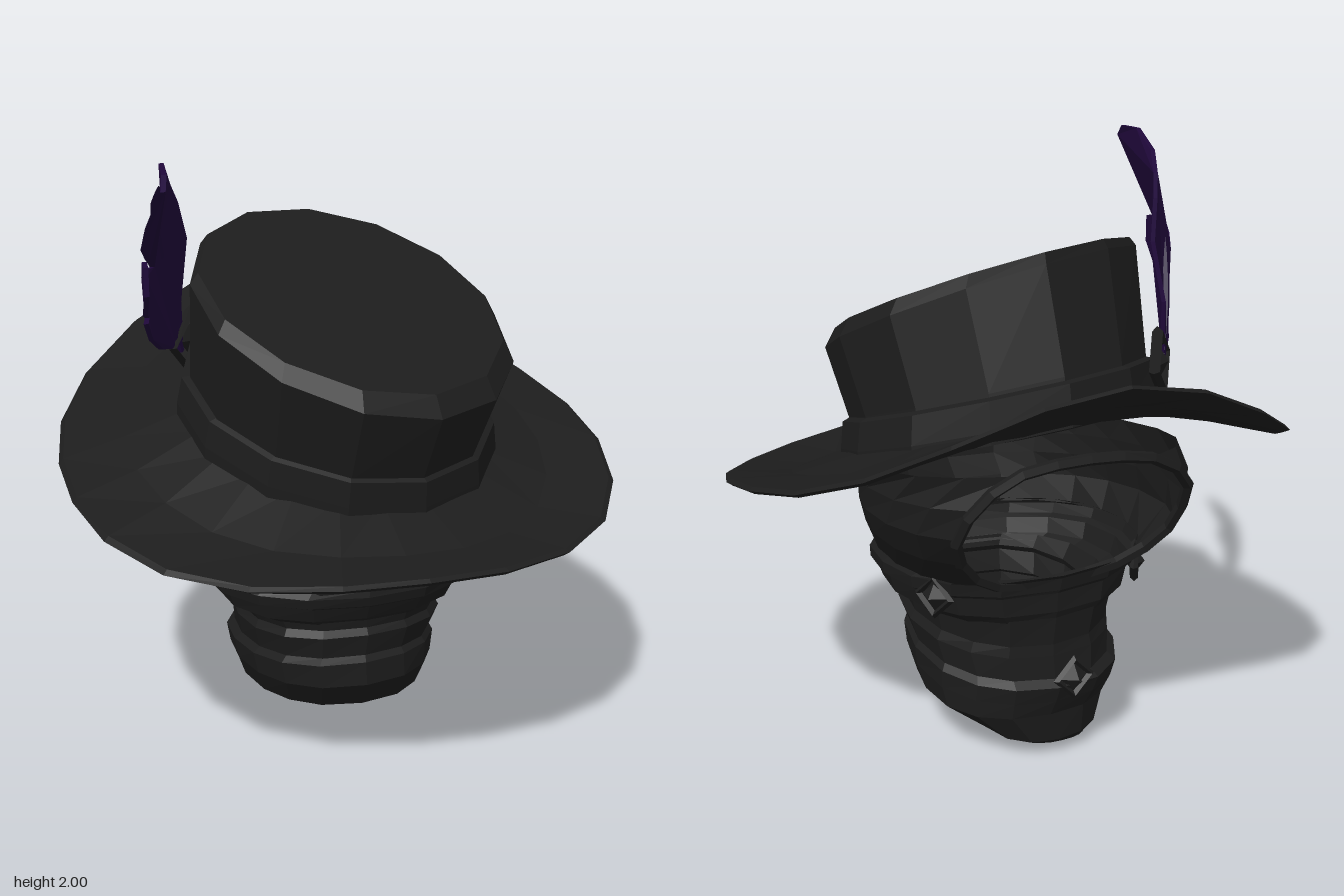
import * as THREE from 'three';

const felt = new THREE.MeshStandardMaterial({ color: 0x1d1d1d, side: THREE.DoubleSide });
felt.name = 'charcoal felt';
const plume = new THREE.MeshStandardMaterial({ color: 0x1f083a, side: THREE.DoubleSide });
plume.name = 'deep purple';

// Faceted normals
function flat(geometry) {
  const g = geometry.index ? geometry.toNonIndexed() : geometry;
  g.computeVertexNormals();
  return g;
}

function add(parent, name, geometry, material) {
  const mesh = new THREE.Mesh(flat(geometry), material);
  mesh.name = name;
  parent.add(mesh);
  return mesh;
}

// Tilted oval cross-section: tz and tx are slopes along z and x.
// gap leaves an opening (radians each side) at the back; wobble wrinkles cloth;
// a power below 1 makes the oval boxier.
function ring([y, cx, cz, rx, rz, tz = 0, tx = 0], sides, { gap = 0, wobble = 0, power = 1 } = {}) {
  const points = [];
  const count = gap ? sides + 1 : sides;
  const bulge = v => Math.sign(v) * Math.abs(v) ** power;
  for (let i = 0; i < count; i++) {
    const a = (Math.PI - gap) * ((2 * i) / sides - 1);
    const k = 1 + wobble * Math.sin(3 * a + 9 * y);
    const dx = rx * k * bulge(Math.sin(a)), dz = rz * k * bulge(Math.cos(a));
    points.push(new THREE.Vector3(cx + dx, y + tz * dz + tx * dx, cz + dz));
  }
  return points;
}

// Skin rings listed from bottom to top
function loft(rings, { closed = true, capBottom = false, capTop = false } = {}) {
  const n = rings[0].length, pos = [], index = [];
  rings.forEach(r => r.forEach(p => pos.push(p.x, p.y, p.z)));
  for (let i = 0; i < rings.length - 1; i++) {
    for (let j = 0; j < (closed ? n : n - 1); j++) {
      const a = i * n + j, b = i * n + (j + 1) % n;
      index.push(a, b, b + n, a, b + n, a + n);
    }
  }
  const cap = (row, up) => {
    const c = new THREE.Vector3();
    rings[row].forEach(p => c.addScaledVector(p, 1 / n));
    const m = pos.length / 3;
    pos.push(c.x, c.y, c.z);
    for (let j = 0; j < n; j++) {
      const a = row * n + j, b = row * n + (j + 1) % n;
      if (up) index.push(a, b, m); else index.push(b, a, m);
    }
  };
  if (capBottom) cap(0, false);
  if (capTop) cap(rings.length - 1, true);
  const g = new THREE.BufferGeometry();
  g.setAttribute('position', new THREE.Float32BufferAttribute(pos, 3));
  g.setIndex(index);
  return g;
}

function buildHat() {
  const hat = new THREE.Group();
  hat.name = 'hat';

  // Brim: sweeps up at the back, droops at the front, fuller on its right diagonals
  const sides = 22;
  const brimRing = (r, drop) => {
    const points = [];
    for (let i = 0; i < sides; i++) {
      const a = (2 * Math.PI * i) / sides;
      const t = (r - 0.48) / (0.915 - 0.48);
      const k = 1 + t * Math.sin(2 * a) ** 2 * (a > Math.PI ? 0.055 : 0.02);
      const x = r * k * 1.01 * Math.sin(a), z = r * k * 0.99 * Math.cos(a);
      const ex = 0.924 * Math.sin(a), ez = 0.906 * Math.cos(a);
      const edge = 0.97 - 0.19 * ez - 0.165 * ez ** 3 + 0.26 * ez ** 4 + 0.02 * ex - 0.04 * ex * Math.max(ez, 0);
      const inner = 1.08 - 0.29 * z - 0.08 * x;
      const dip = 0.02 * Math.sin(Math.PI * t);
      points.push(new THREE.Vector3(x, inner + (edge - inner) * t - dip - drop, z));
    }
    return points;
  };
  add(hat, 'brim', loft([
    brimRing(0.48, 0.03), brimRing(0.7, 0.022), brimRing(0.895, 0.012),
    brimRing(0.915, 0), brimRing(0.9, -0.012), brimRing(0.7, -0.01), brimRing(0.48, -0.01),
  ], { capBottom: true }), felt);

  // Crown: flares slightly towards a tilted flat top
  add(hat, 'crown', loft([
    ring([1.06, 0, 0, 0.5, 0.515, -0.29, -0.1], 13),
    ring([1.2, 0, 0.03, 0.495, 0.505, -0.32, -0.1], 13),
    ring([1.48, 0.015, 0.13, 0.525, 0.5, -0.43, -0.17], 13),
    ring([1.53, 0.015, 0.115, 0.495, 0.475, -0.42, -0.15], 13),
  ], { capTop: true }), felt);

  // Hat band
  add(hat, 'hatBand', loft([
    ring([1.06, 0, 0, 0.535, 0.535, -0.29, -0.1], 13),
    ring([1.1, 0, 0.005, 0.535, 0.535, -0.29, -0.1], 13),
    ring([1.19, 0, 0.02, 0.52, 0.53, -0.3, -0.1], 13),
    ring([1.2, 0, 0.025, 0.49, 0.5, -0.3, -0.1], 13),
  ]), felt);

  // Diamond buckle holding the feather
  const buckle = new THREE.Group();
  buckle.name = 'bandBuckle';
  add(buckle, 'buckleFrame', new THREE.TorusGeometry(0.1, 0.018, 4, 4), felt);
  add(buckle, 'buckleStud', new THREE.OctahedronGeometry(0.05), felt).scale.z = 0.6;
  buckle.position.set(-0.43, 1.32, -0.31);
  buckle.lookAt(-1.23, 1.42, -0.91);
  buckle.scale.x = 1.35;
  hat.add(buckle);
  return hat;
}

function buildFeather() {
  const feather = new THREE.Group();
  feather.name = 'feather';
  // The feather bows outwards, its lower edge leaning away from the crown
  const bend = z => -0.605 - 0.4 * z + 0.8 * z * z;
  const lean = (z, y) => 0.4 * THREE.MathUtils.clamp(y - 1.72 - 0.7 * z, -0.05, 0.1);

  // Vane outline as (z, y), with splits along its lower edge
  const outline = [
    [-0.26, 1.33], [-0.25, 1.5], [-0.19, 1.69], [-0.13, 1.82], [-0.06, 1.89], [0.03, 1.95], [0.2, 2.0],
    [0.35, 1.99], [0.41, 1.95], [0.38, 1.92], [0.27, 1.82], [0.1, 1.72], [0, 1.67], [-0.06, 1.63],
    [0.02, 1.64], [0.06, 1.66], [0.08, 1.63], [0.12, 1.64], [0.18, 1.7], [0.22, 1.69], [0.22, 1.6],
    [0.13, 1.52], [0.04, 1.49], [0.08, 1.48], [-0.02, 1.4], [-0.12, 1.34], [-0.22, 1.31],
  ].map(p => new THREE.Vector2(...p));
  const vane = new THREE.ExtrudeGeometry(new THREE.Shape(outline), { depth: 0.016, bevelEnabled: false });
  const p = vane.attributes.position;
  for (let i = 0; i < p.count; i++) {
    const z = p.getX(i), y = p.getY(i);
    p.setXYZ(i, bend(z) + lean(z, y) - p.getZ(i) + 0.008, y, z);
  }
  add(feather, 'featherVane', vane, plume);

  // Central quill
  const quill = [[-0.26, 1.29], [-0.2, 1.46], [-0.08, 1.67], [0.12, 1.85], [0.36, 1.95]]
    .map(([z, y]) => new THREE.Vector3(bend(z) + lean(z, y), y, z));
  add(feather, 'featherQuill', new THREE.TubeGeometry(new THREE.CatmullRomCurve3(quill), 10, 0.011, 4), plume);
  return feather;
}

function buildMask() {
  const mask = new THREE.Group();
  mask.name = 'mask';
  const cloth = { wobble: 0.02, power: 0.88 };

  // Neck wrap with stacked folds, tapering to a point at the back
  add(mask, 'neckWrap', loft([
    [0, -0.1, -0.24, 0.1, 0.05],
    [0.1, -0.05, -0.13, 0.22, 0.24, 0.2],
    [0.17, -0.01, -0.04, 0.31, 0.35, 0.02],
    [0.25, -0.02, -0.01, 0.335, 0.4, 0.08],
    [0.32, -0.025, -0.015, 0.345, 0.41, 0.11],
    [0.34, -0.02, -0.01, 0.325, 0.385, 0.11],
    [0.42, -0.015, 0.005, 0.345, 0.39, 0.1],
    [0.45, -0.015, 0, 0.33, 0.38, 0.08],
    [0.52, -0.02, 0, 0.355, 0.39, 0],
  ].map(r => ring(r, 16, cloth)), { capBottom: true }), felt);

  // Strap around the jaw
  add(mask, 'jawStrap', loft([
    [0.5, -0.02, 0, 0.35, 0.38],
    [0.53, -0.02, 0, 0.41, 0.395, -0.03],
    [0.59, -0.02, 0.01, 0.43, 0.41, -0.05],
    [0.6, -0.025, 0.015, 0.455, 0.42, -0.05],
    [0.64, -0.03, 0.015, 0.465, 0.43, -0.06],
    [0.66, -0.025, 0.003, 0.44, 0.437, -0.05],
  ].map(r => ring(r, 16, cloth))), felt);

  // Face covering, open at the back of the head
  const gaps = [0.48, 0.76, 0.82, 0.74, 0.4];
  const rows = [
    [0.65, -0.025, 0.003, 0.44, 0.437, -0.05],
    [0.76, -0.03, -0.063, 0.505, 0.518, -0.07],
    [0.86, -0.01, -0.105, 0.515, 0.58, -0.1],
    [0.95, -0.01, -0.12, 0.51, 0.6, -0.13],
    [1.03, 0, -0.09, 0.51, 0.57, -0.16],
  ].map((r, i) => ring(r, 16, { ...cloth, gap: gaps[i] }));
  add(mask, 'faceCovering', loft(rows, { closed: false }), felt);

  // Rolled rim round the opening
  const rim = [...rows.map(r => r[0]), ...rows.map(r => r[r.length - 1]).reverse()];
  add(mask, 'openingRim', new THREE.TubeGeometry(new THREE.CatmullRomCurve3(rim, true), 20, 0.02, 5, true), felt);

  // Diamond studs: one on each cheek, one on the nape
  [[0.345, 0.6, -0.24, 1, -0.6], [-0.395, 0.6, -0.24, -1, -0.6], [-0.08, 0.3, -0.41, -0.1, -1]].forEach(([x, y, z, dx, dz]) => {
    const stud = new THREE.Group();
    stud.name = 'stud';
    add(stud, 'studFrame', new THREE.TorusGeometry(0.065, 0.014, 4, 4), felt);
    add(stud, 'studGem', new THREE.OctahedronGeometry(0.05), felt).scale.z = 0.7;
    stud.position.set(x, y, z);
    stud.lookAt(x + dx, y, z + dz);
    mask.add(stud);
  });
  return mask;
}

export function createModel() {
  const model = new THREE.Group();
  model.name = 'featheredHatAndMask';
  model.add(buildHat(), buildFeather(), buildMask());
  return model;
}
